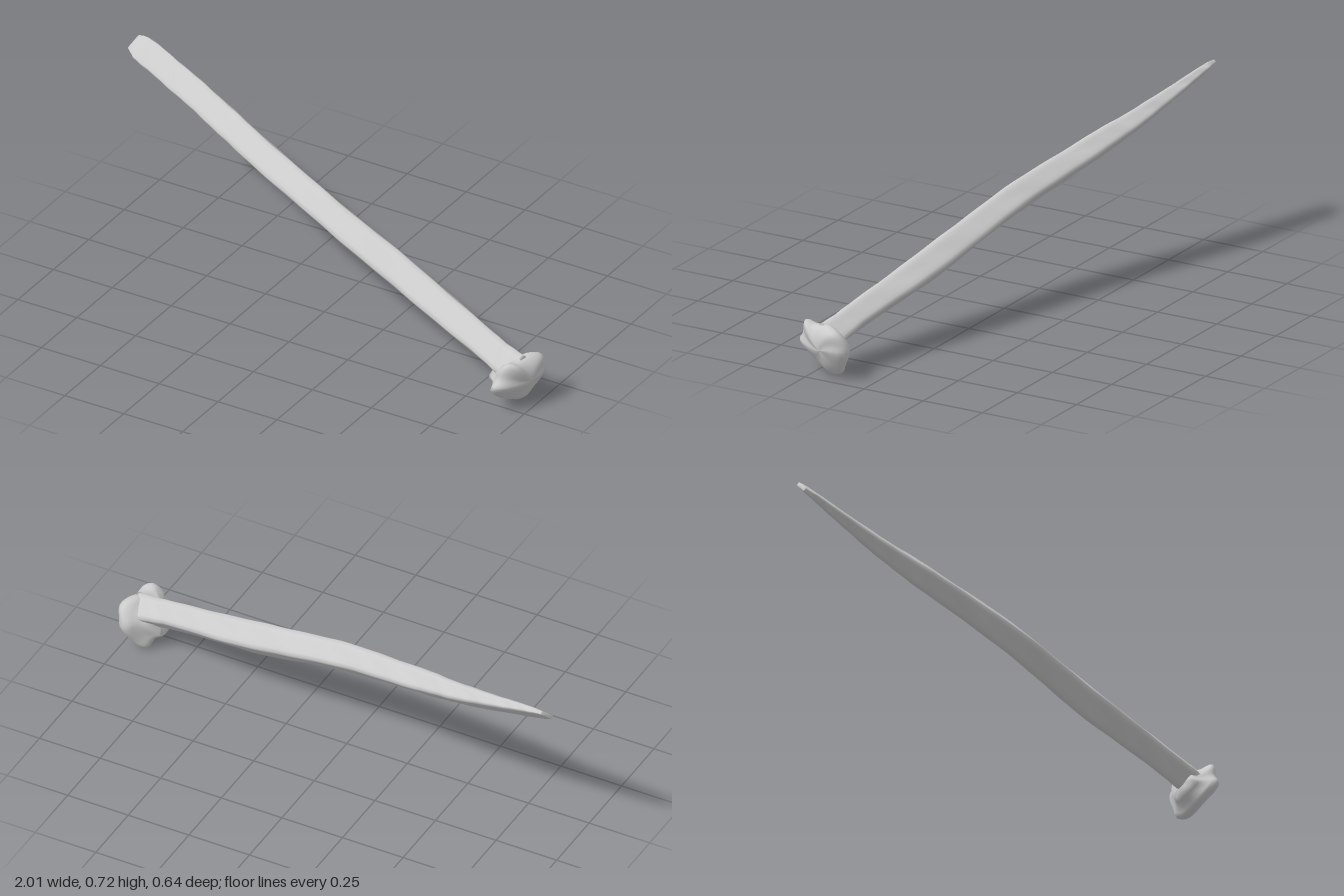
import * as THREE from 'three';

const material = new THREE.MeshStandardMaterial({ color: 0xcccccc });

// Skin closed rings (counter-clockwise seen from +x, running towards -x)
function loft(name, rings) {
  const n = rings[0].length;
  const index = [];
  for (let r = 0; r < rings.length - 1; r++) {
    for (let i = 0; i < n; i++) {
      const a = r * n + i, b = r * n + (i + 1) % n;
      index.push(a, a + n, b, b, a + n, b + n);
    }
  }
  const geometry = new THREE.BufferGeometry().setFromPoints(rings.flat());
  geometry.setIndex(index);
  geometry.computeVertexNormals();
  const mesh = new THREE.Mesh(geometry, material);
  mesh.name = name;
  return mesh;
}

// Square shank, slightly bowed, thinning to a chisel tip
function createShank() {
  // x, y, z of the centre line, then width and thickness
  const stations = [
    [0.95, 0.135, 0.2, 0.11, 0.1],
    [0.8, 0.18, 0.168, 0.1, 0.088],
    [0.4, 0.294, 0.068, 0.108, 0.1],
    [0, 0.415, -0.02, 0.102, 0.092],
    [-0.4, 0.522, -0.135, 0.1, 0.08],
    [-0.6, 0.579, -0.198, 0.097, 0.062],
    [-0.8, 0.639, -0.25, 0.094, 0.04],
    [-0.94, 0.68, -0.283, 0.09, 0.024],
    [-0.985, 0.692, -0.294, 0.06, 0.014],
  ];
  const path = new THREE.CatmullRomCurve3(stations.map(s => new THREE.Vector3(s[0], s[1], s[2])));
  const size = new THREE.CatmullRomCurve3(stations.map(s => new THREE.Vector3(s[3], s[4], 0)));
  const u = new THREE.Vector3(0.36, 0.66, -0.66).normalize();
  const v = new THREE.Vector3(0, 0.707, 0.707);
  const steps = 96, sides = 32;
  const rings = [];
  const addRing = (t, scale) => {
    const c = path.getPoint(t), s = size.getPoint(t);
    rings.push(Array.from({ length: sides }, (_, i) => {
      const angle = (i / sides) * Math.PI * 2;
      const cos = Math.cos(angle), sin = Math.sin(angle);
      // Rounded square section with faint hammered waviness
      const radius = 1.05 / Math.pow(Math.abs(cos) ** 10 + Math.abs(sin) ** 10, 0.1);
      const wave = 1 + 0.018 * Math.sin(t * 47 + 2 * angle) + 0.012 * Math.sin(t * 113 + 3 * angle);
      const k = 0.5 * radius * wave * scale;
      return c.clone().addScaledVector(u, cos * s.x * k).addScaledVector(v, sin * s.y * k);
    }));
  };
  addRing(0, 0);
  for (let j = 0; j <= steps; j++) addRing(j / steps, 1);
  addRing(1, 0);
  return loft('shank', rings);
}

// Irregular hammered head, square to the shank
function createHead() {
  const outline = new THREE.CatmullRomCurve3([
    [0.205, 0.17], [0.195, 0.235], [0.204, 0.275], [0.18, 0.293], [0.145, 0.3],
    [0.11, 0.32], [0.06, 0.28], [0.022, 0.22], [0, 0.165], [0.01, 0.14],
    [0.045, 0.117], [0.11, 0.086], [0.15, 0.092], [0.19, 0.12],
  ].map(([y, z]) => new THREE.Vector3(0, y, z)), true);
  const rim = outline.getPoints(56).slice(0, 56);
  const centre = new THREE.Vector3(0, 0.112, 0.19);
  // Scale of the outline and offset along x, from crown to neck
  const profile = [
    [0, 0.052], [0.25, 0.05], [0.5, 0.043], [0.72, 0.033], [0.88, 0.02], [0.97, 0.006],
    [1, -0.008], [0.96, -0.022], [0.85, -0.032], [0.7, -0.043], [0.55, -0.062], [0.45, -0.085], [0, -0.085],
  ];
  return loft('head', profile.map(([scale, offset]) => rim.map((p, i) => {
    const q = centre.clone().lerp(p, scale);
    const dent = 0.005 * scale * Math.sin((i / 56) * Math.PI * 10 + scale * 4);
    q.x = 0.947 + offset + dent + 0.28 * (q.y - 0.11) - 0.25 * (q.z - 0.19);
    return q;
  })));
}

export function createModel() {
  const model = new THREE.Group();
  model.name = 'squareNail';
  model.add(createShank(), createHead());
  return model;
}
